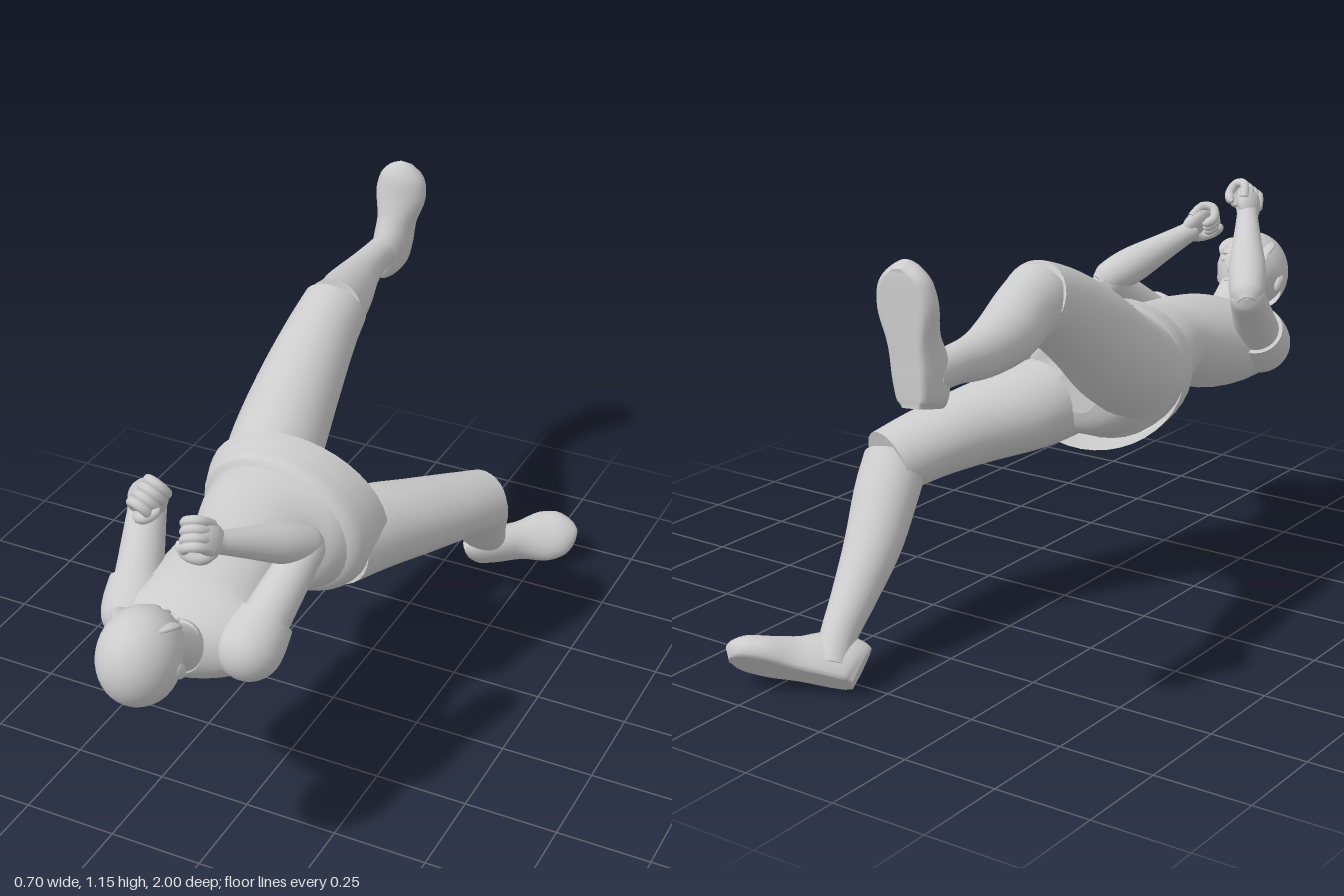
import * as THREE from 'three';

const V = (x, y, z) => new THREE.Vector3(x, y, z);
const skin = new THREE.MeshStandardMaterial({ color: 0xcccccc, side: THREE.DoubleSide });

// Smooth body part through sections [x, y, z, halfWidth, halfDepth, roll]; ref is the width axis
function loft(name, sections, { ref = V(1, 0, 0), rings = 24, sides = 28, cap = true, floor = -1 } = {}) {
  const path = new THREE.CatmullRomCurve3(sections.map(s => V(s[0], s[1], s[2])));
  const size = new THREE.CatmullRomCurve3(sections.map(s => V(s[3], s[4] ?? s[3], s[5] ?? 0)), false, 'catmullrom', 0.5);
  const pos = [], index = [];
  for (let i = 0; i <= rings; i++) {
    const t = i / rings, c = path.getPoint(t), r = size.getPoint(t);
    const T = path.getPoint(Math.min(1, t + 0.01)).sub(path.getPoint(Math.max(0, t - 0.01))).normalize();
    const S = ref.clone().addScaledVector(T, -ref.dot(T)).normalize().applyAxisAngle(T, r.z);
    const U = T.clone().cross(S);
    for (let j = 0; j < sides; j++) {
      const a = j / sides * Math.PI * 2;
      const p = c.clone().addScaledVector(S, Math.cos(a) * r.x).addScaledVector(U, Math.max(Math.sin(a), floor) * r.y);
      pos.push(p.x, p.y, p.z);
      if (i < rings) {
        const k = i * sides + j, n = i * sides + (j + 1) % sides;
        index.push(k, n, k + sides, n, n + sides, k + sides);
      }
    }
  }
  if (cap) for (const end of [0, 1]) {
    const from = end * rings * sides * 3, base = pos.length / 3;
    const c = path.getPoint(end);
    pos.push(...pos.slice(from, from + sides * 3), c.x, c.y, c.z);
    for (let j = 0; j < sides; j++) {
      const a = base + j, b = base + (j + 1) % sides;
      index.push(base + sides, end ? a : b, end ? b : a);
    }
  }
  const g = new THREE.BufferGeometry();
  g.setAttribute('position', new THREE.Float32BufferAttribute(pos, 3));
  g.setIndex(index);
  g.computeVertexNormals();
  const m = new THREE.Mesh(g, skin);
  m.name = name;
  return m;
}

function ball(name, at, scale, geometry = new THREE.SphereGeometry(1, 28, 20)) {
  const m = new THREE.Mesh(geometry, skin);
  m.name = name;
  m.position.set(...at);
  m.scale.set(...scale);
  return m;
}

// Group whose local z follows dir and local y follows up
function frame(name, at, dir, up) {
  const g = new THREE.Group(), Z = dir.clone().normalize();
  const X = up.clone().cross(Z).normalize(), Y = Z.clone().cross(X);
  g.name = name;
  g.setRotationFromMatrix(new THREE.Matrix4().makeBasis(X, Y, Z));
  g.position.copy(at);
  return g;
}

// Shoe: sole on local y = 0, heel at the origin, toes along z
function foot(name, heel, dir, up) {
  const g = frame(name, heel, dir, up);
  const profile = [[0, .03, .068], [.02, .045, .076], [.08, .053, .08], [.15, .056, .062],
    [.22, .074, .05], [.275, .067, .044], [.303, .045, .034], [.316, .016, .022]];
  g.add(loft('shoe', profile.map(([z, a, b]) => [0, b * .55, z, a, b]), { floor: -.55 }));
  return g;
}

// Closed fist, palm on local -y
function fist(name, wrist, dir, palm, thumbSide) {
  const g = frame(name, wrist, dir, palm.clone().negate());
  g.add(ball('palm', [0, .004, .045], [.042, .026, .05]));
  for (let i = 0; i < 4; i++) {
    const x = (i - 1.5) * .021, r = .0125;
    g.add(loft('finger', [[x, .012, .04, r], [x, .014, .085, r], [x, -.012, .1, r], [x, -.036, .08, r],
      [x, -.034, .055, r], [x, -.026, .045, .004]], { sides: 10, rings: 16 }));
  }
  const s = thumbSide;
  g.add(loft('thumb', [[s * .025, -.005, .015, .014], [s * .047, -.016, .045, .015], [s * .04, -.036, .075, .013],
    [s * .018, -.046, .088, .011], [s * .008, -.047, .092, .003]], { sides: 10, rings: 14 }));
  return g;
}

function head() {
  const g = frame('head', V(-.047, .71, .883), V(0, .5, -.87), V(0, .87, .5));
  // Skull narrowing to the chin
  const skull = new THREE.SphereGeometry(1, 36, 26), p = skull.attributes.position;
  for (let i = 0; i < p.count; i++) {
    const y = p.getY(i), d = Math.max(0, -y);
    p.setX(i, p.getX(i) * (1 - .25 * d));
    p.setZ(i, p.getZ(i) * (1 - .08 * d) + .16 * d * d);
  }
  skull.computeVertexNormals();
  g.add(ball('skull', [0, 0, .003], [.096, .113, .115], skull));
  // Hair cap and fringe
  const hair = ball('hair', [0, .004, -.001], [.1, .113, .118], new THREE.SphereGeometry(1, 36, 20, 0, Math.PI * 2, 0, 1.7));
  hair.rotation.x = -.6;
  g.add(hair);
  for (let i = -2; i <= 2; i++) {
    const x = i * .03, z = .104 - Math.abs(i) * .014;
    g.add(loft('fringeLock', [[x * .7, .095, z - .052, .01, .004], [x, .07, z - .018, .021, .007],
      [x * 1.15, .042, z + .003, .014, .006], [x * 1.25 + .006, .022, z + .006, .002]], { sides: 10, rings: 10 }));
  }
  // Face
  g.add(loft('nose', [[0, .015, .109, .006], [0, -.012, .119, .008, .009], [0, -.027, .124, .011, .01], [0, -.037, .115, .005]],
    { sides: 12, rings: 10 }));
  g.add(ball('lips', [0, -.058, .106], [.022, .006, .008]));
  for (const s of [-1, 1]) {
    g.add(ball('eye', [s * .034, .002, .104], [.016, .009, .009]));
    g.add(ball('eyebrow', [s * .035, .02, .104], [.02, .004, .008]));
    g.add(ball('ear', [s * .094, -.015, -.002], [.012, .028, .018]));
  }
  return g;
}

export function createModel() {
  const model = new THREE.Group();
  model.name = 'fallingKicker';

  // Trunk: neck end to crotch, twisting toward the hips
  model.add(loft('torso', [[-.058, .6, .715, .06, .05], [-.066, .593, .68, .13, .078], [-.078, .588, .61, .2, .115],
    [-.09, .6, .52, .175, .128], [-.095, .632, .4, .15, .116], [-.097, .65, .3, .143, .108, .1],
    [-.1, .642, .2, .175, .135, .25], [-.09, .625, .12, .212, .172, .35], [-.08, .615, .03, .222, .172, .37],
    [-.08, .6, -.03, .16, .13, .37], [-.08, .6, -.06, .06, .06, .37]], { rings: 44, sides: 36 }));
  // Band around the hips, its front edge lying on the waist
  model.add(loft('hipBand', [[-.08, .618, .16, .185, .142, .35], [-.08, .618, .135, .225, .178, .36], [-.083, .618, .08, .24, .188, .37],
    [-.09, .621, .02, .25, .194, .37]], { cap: false, sides: 40 }));
  model.add(loft('neck', [[-.065, .59, .65, .085, .06], [-.057, .615, .7, .056], [-.05, .66, .765, .05], [-.047, .7, .83, .055]]));
  model.add(loft('collar', [[-.063, .597, .66, .085, .075], [-.059, .615, .695, .064, .064], [-.056, .63, .715, .058, .06]], { cap: false, rings: 8 }));
  model.add(head());

  // Arms raised in a guard: shoulder, elbow, wrist
  const arms = [
    [-1, 'right', V(-.235, .598, .605), V(-.31, .785, .395), V(-.178, .94, .618), V(.9, -.3, .1)],
    [1, 'left', V(.078, .594, .605), V(.125, .77, .385), V(.01, .87, .605), V(-.9, -.3, .1)]];
  for (const [s, side, sh, el, wr, palm] of arms) {
    const at = (a, b, t, r) => { const p = a.clone().lerp(b, t); return [p.x, p.y, p.z, r]; };
    const ref = V(1, .1, -.2);
    model.add(loft(side + 'UpperArm', [at(sh, el, -.1, .05), at(sh, el, .15, .062), at(sh, el, .45, .057),
      at(sh, el, .8, .05), at(sh, el, 1, .045), at(sh, el, 1.1, .025)], { ref }));
    model.add(loft(side + 'Forearm', [at(el, wr, -.1, .025), at(el, wr, 0, .044), at(el, wr, .3, .05),
      at(el, wr, .7, .038), at(el, wr, 1, .029), at(el, wr, 1.1, .029)], { ref }));
    // Rounded shoulder and short sleeve
    model.add(ball(side + 'Shoulder', sh.toArray(), [.083, .083, .083]));
    model.add(loft(side + 'Sleeve', [at(sh, el, 0, .083), at(sh, el, .1, .081), at(sh, el, .2, .076), at(sh, el, .28, .071)], { ref, rings: 8 }));
    const reach = wr.clone().sub(el).normalize().add(V(0, .25, 0));
    model.add(fist(side + 'Hand', wr, reach, palm, s));
  }

  // Shorts legs, ending in a flat hem
  model.add(loft('rightShortsLeg', [[-.18, .64, .06, .12, .13], [-.2, .72, -.08, .122, .125], [-.205, .825, -.22, .11, .113],
    [-.21, .908, -.36, .095, .1], [-.212, .945, -.44, .089, .09]]));
  model.add(loft('leftShortsLeg', [[.03, .55, .06, .12, .11], [.065, .535, -.06, .125, .112], [.135, .51, -.2, .11, .102],
    [.196, .48, -.34, .1, .09], [.233, .452, -.44, .092, .085]]));

  // Lower legs
  model.add(loft('rightLowerLeg', [[-.212, .94, -.42, .082, .087], [-.227, .922, -.5, .077, .082], [-.26, .9, -.62, .072, .071],
    [-.283, .89, -.75, .054, .056], [-.289, .893, -.85, .043, .045], [-.288, .89, -.94, .045, .045]]));
  model.add(loft('leftLowerLeg', [[.226, .457, -.42, .083, .078], [.21, .39, -.48, .083, .077], [.182, .29, -.57, .073, .07],
    [.157, .19, -.68, .056, .056], [.137, .12, -.765, .045, .046], [.12, .065, -.81, .045, .045]]));

  // Feet
  model.add(foot('rightFoot', V(-.288, .823, -1), V(.1, 1, 0), V(0, 0, 1)));
  model.add(foot('leftFoot', V(.06, .02, -.797), V(.84, .18, -.48), V(.26, .69, .67)));
  return model;
}
